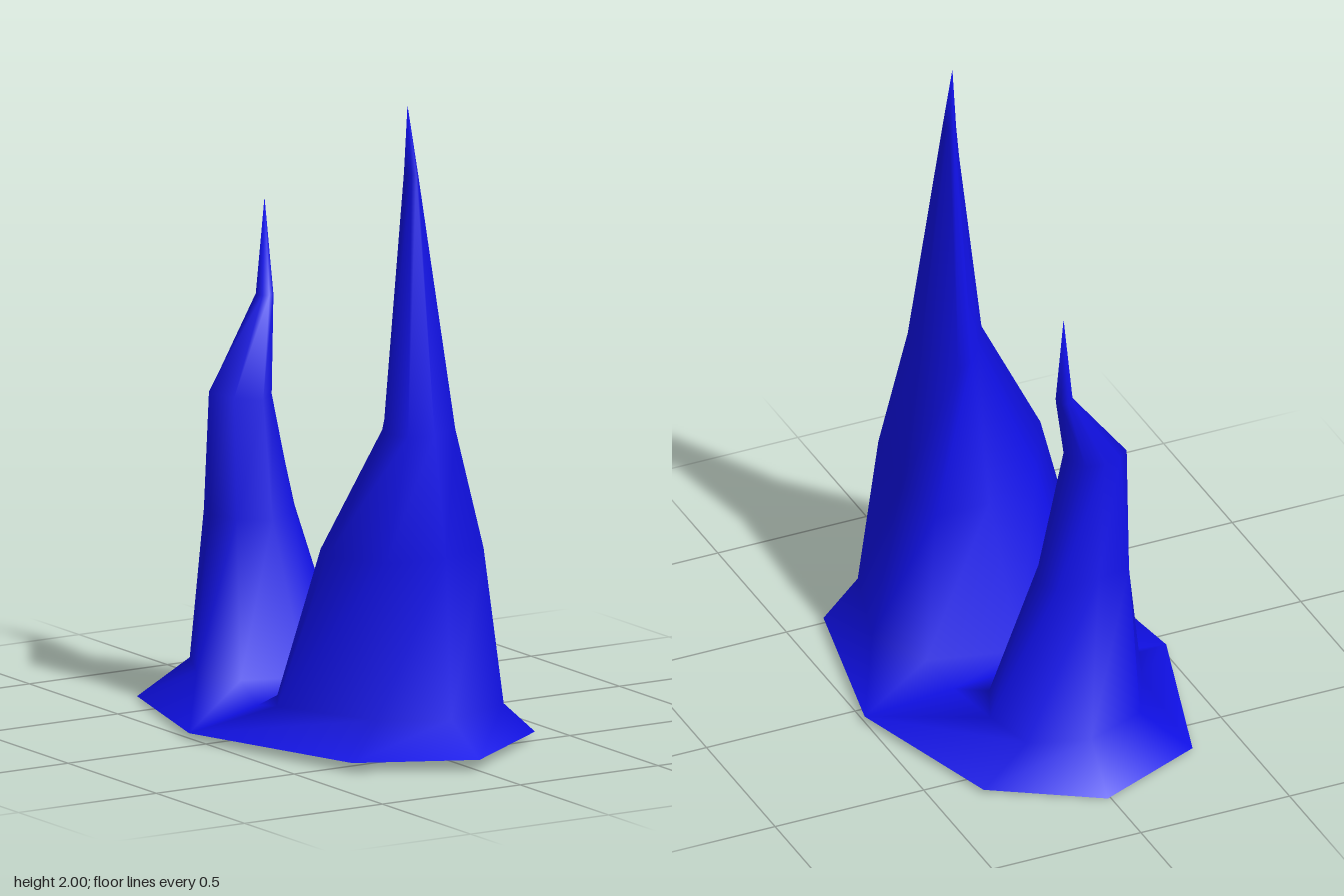
import * as THREE from 'three';
import { mergeGeometries, mergeVertices } from 'three/addons/utils/BufferGeometryUtils.js';

const P = (x, y, z) => [x, y, z];

// Small eight-sided ring, same corner order as the hand-set rings
function smallRing(cx, cy, cz, rx, rz) {
  return Array.from({ length: 8 }, (_, i) => {
    const a = (i * Math.PI) / 4;
    return P(cx + rx * Math.cos(a), cy, cz + rz * Math.sin(a));
  });
}

// Skin a stack of eight-cornered rings, ending in a point
function loft(rings, apex) {
  const n = 8;
  const pos = [];
  const index = [];
  rings.forEach((ring) => ring.forEach((p) => pos.push(...p)));
  const tip = rings.length * n;
  pos.push(...apex);
  for (let r = 0; r < rings.length; r++) {
    for (let i = 0; i < n; i++) {
      const j = (i + 1) % n;
      const a = r * n + i;
      const b = r * n + j;
      if (r === rings.length - 1) index.push(a, tip, b);
      else index.push(a, a + n, b, b, a + n, b + n);
    }
  }
  const g = new THREE.BufferGeometry();
  g.setAttribute('position', new THREE.Float32BufferAttribute(pos, 3));
  g.setIndex(index);
  return g;
}

export function createModel() {
  const group = new THREE.Group();
  group.name = 'stalagmites';

  // Shared side corners and the valley between the spires
  const right = P(0.5, 0.02, -0.07);
  const left = P(-0.51, 0.02, -0.08);
  const valley = [P(0.22, 0.07, -0.11), P(0, 0.09, -0.11), P(-0.24, 0.07, -0.11)];

  // Ring order: right, front right, front, front left, left, back left, back, back right
  const tall = loft([
    [right, P(0.38, 0.025, 0.49), P(0, 0.035, 0.77), P(-0.34, 0.03, 0.58), left,
      valley[2], valley[1], valley[0]],
    [P(0.35, 0.12, 0.2), P(0.26, 0.13, 0.5), P(0, 0.13, 0.61), P(-0.22, 0.14, 0.53),
      P(-0.37, 0.14, 0.2), P(-0.26, 0.13, 0.03), P(-0.02, 0.12, -0.07), P(0.26, 0.12, 0)],
    [P(0.23, 0.6, 0.25), P(0.2, 0.62, 0.48), P(0, 0.63, 0.58), P(-0.2, 0.63, 0.55),
      P(-0.29, 0.63, 0.36), P(-0.18, 0.6, 0.15), P(0.02, 0.59, 0.06), P(0.2, 0.59, 0.06)],
    [P(0.12, 0.99, 0.35), P(0.11, 1, 0.46), P(0, 1, 0.515), P(-0.08, 1, 0.49),
      P(-0.11, 1, 0.4), P(-0.06, 1, 0.32), P(0, 1, 0.23), P(0.06, 1, 0.2)],
    smallRing(0.02, 1.79, 0.35, 0.017, 0.03),
  ], P(0.02, 2, 0.33));

  const bent = loft([
    [right, ...valley, left,
      P(-0.34, 0.01, -0.64), P(0.01, 0, -0.78), P(0.34, 0.01, -0.59)],
    [P(0.22, 0.12, -0.38), P(0.16, 0.12, -0.24), P(-0.03, 0.12, -0.17), P(-0.22, 0.12, -0.24),
      P(-0.29, 0.13, -0.38), P(-0.2, 0.13, -0.56), P(0, 0.13, -0.64), P(0.18, 0.12, -0.56)],
    [P(0.09, 0.6, -0.42), P(0.04, 0.6, -0.34), P(-0.06, 0.59, -0.31), P(-0.17, 0.6, -0.34),
      P(-0.23, 0.61, -0.4), P(-0.2, 0.61, -0.48), P(-0.08, 0.62, -0.52), P(0.05, 0.6, -0.5)],
    [P(-0.02, 1, -0.4), P(-0.05, 0.98, -0.33), P(-0.1, 0.97, -0.3), P(-0.18, 0.98, -0.34),
      P(-0.22, 0.99, -0.42), P(-0.18, 1, -0.46), P(-0.12, 1, -0.48), P(-0.06, 1, -0.47)],
    smallRing(0.012, 1.26, -0.467, 0.028, 0.027),
  ], P(0.02, 1.56, -0.48));

  // Both spires share one smooth, open-bottomed skin
  const skin = mergeVertices(mergeGeometries([tall, bent]));
  skin.computeVertexNormals();
  const spires = new THREE.Mesh(
    skin,
    new THREE.MeshStandardMaterial({ color: 0x1010e6, side: THREE.DoubleSide })
  );
  spires.name = 'twinSpires';
  group.add(spires);
  return group;
}
